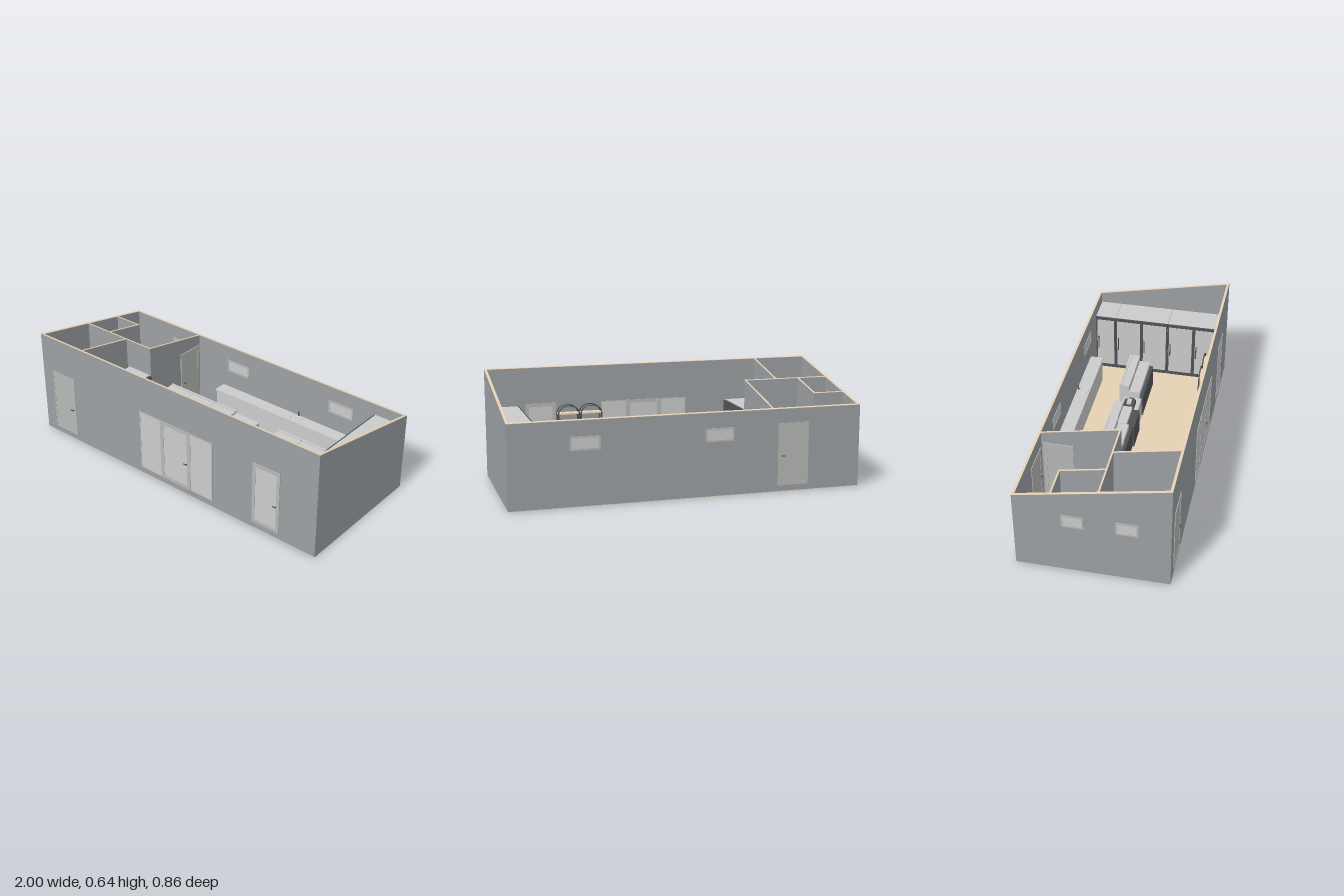
import * as THREE from 'three';

const mat = (color) => new THREE.MeshStandardMaterial({ color, flatShading: true });
const WALL = mat(0x9ca0a3), TAN = mat(0xe6d1b4), GREY = mat(0xcccccc), DARK = mat(0x505356);
const FRAME = mat(0xb6b9b5), STEEL = mat(0xbcbec0);
const SMOOTH = new THREE.MeshStandardMaterial({ color: 0xcccccc, side: THREE.DoubleSide });

const FLOOR = 0.035, T = 0.015, W = 0.415;
const roof = (z) => 0.555 + z * 0.2;

function add(parent, name, geometry, material, x = 0, y = 0, z = 0) {
  const m = new THREE.Mesh(geometry, material);
  m.name = name;
  m.position.set(x, y, z);
  parent.add(m);
  return m;
}

// Box given by its limits
function block(parent, name, material, x0, x1, y0, y1, z0, z1) {
  return add(parent, name, new THREE.BoxGeometry(x1 - x0, y1 - y0, z1 - z0), material,
    (x0 + x1) / 2, (y0 + y1) / 2, (z0 + z1) / 2);
}

// Box whose top (and optionally bottom) follows the roof slope
function slopedBox(parent, name, material, x0, x1, z0, z1, low, high) {
  const g = new THREE.BoxGeometry(x1 - x0, 1, z1 - z0);
  g.translate((x0 + x1) / 2, 0, (z0 + z1) / 2);
  const p = g.attributes.position;
  for (let i = 0; i < p.count; i++) p.setY(i, (p.getY(i) > 0 ? high : low)(p.getZ(i)));
  g.computeVertexNormals();
  return add(parent, name, g, material);
}

// Wall with a light core showing along its top edge
function wall(parent, name, x0, x1, z0, z1, base) {
  const g = new THREE.Group();
  g.name = name;
  parent.add(g);
  slopedBox(g, 'wallPanel', WALL, x0, x1, z0, z1, () => base, (z) => roof(z) - 0.002);
  slopedBox(g, 'wallTopEdge', TAN, x0, x1, z0, z1, (z) => roof(z) - 0.002, roof);
  if (base < FLOOR) block(g, 'wallBottomEdge', TAN, x0, x1, 0, base, z0, z1);
}

// Framed pane set through a wall; handle is the side of the lever (-1, 0 or 1)
function opening(parent, name, o) {
  const { w, y0, y1, border = 0.02, frame = FRAME, pane = GREY, handle = 0 } = o;
  const g = new THREE.Group(), h = y1 - y0, d = 0.022;
  g.name = name;
  const s = new THREE.Shape([[-w / 2, 0], [w / 2, 0], [w / 2, h], [-w / 2, h]].map((p) => new THREE.Vector2(...p)));
  const a = w / 2 - border;
  s.holes.push(new THREE.Path([[-a, border], [-a, h - border], [a, h - border], [a, border]].map((p) => new THREE.Vector2(...p))));
  add(g, 'frame', new THREE.ExtrudeGeometry(s, { depth: d, bevelEnabled: false }), frame, 0, 0, -d / 2);
  add(g, 'pane', new THREE.BoxGeometry(2 * a, h - 2 * border, 0.018), pane, 0, h / 2, 0);
  if (handle) {
    const hx = handle * (w / 2 - 0.022), hy = 0.205 - y0;
    add(g, 'handleStem', new THREE.BoxGeometry(0.006, 0.006, 0.036), DARK, hx, hy, 0);
    for (const side of [-1, 1])
      add(g, 'handleLever', new THREE.BoxGeometry(0.02, 0.005, 0.004), DARK, hx - handle * 0.007, hy, side * 0.018);
  }
  g.position.set(o.x, y0, o.z);
  g.rotation.y = o.turn || 0;
  parent.add(g);
}

// Toilet with its tank at the back (-z)
function toilet(parent, x, z, turn) {
  const g = new THREE.Group();
  g.name = 'toilet';
  add(g, 'tank', new THREE.BoxGeometry(0.07, 0.07, 0.035), GREY, 0, 0.1, 0.018);
  const prof = [[0, 0], [0.022, 0], [0.02, 0.03], [0.033, 0.065], [0.035, 0.075], [0, 0.075]];
  const bowl = add(g, 'bowl', new THREE.LatheGeometry(prof.map((p) => new THREE.Vector2(...p)), 24), SMOOTH, 0, 0, 0.08);
  bowl.scale.z = 1.35;
  block(g, 'bowlNeck', GREY, -0.02, 0.02, 0, 0.07, 0, 0.06);
  g.position.set(x, FLOOR, z);
  g.rotation.y = turn;
  parent.add(g);
}

// Round wall basin with a small tap, wall at -z
function basin(parent, x, z, turn) {
  const g = new THREE.Group();
  g.name = 'washBasin';
  const prof = [[0, 0], [0.02, 0.005], [0.035, 0.035], [0.03, 0.035], [0.016, 0.014], [0, 0.012]];
  add(g, 'bowl', new THREE.LatheGeometry(prof.map((p) => new THREE.Vector2(...p)), 24), SMOOTH, 0, 0.12, 0.035);
  add(g, 'pedestal', new THREE.CylinderGeometry(0.01, 0.014, 0.12, 16), SMOOTH, 0, 0.06, 0.03);
  const path = new THREE.CatmullRomCurve3([[0, 0.15, 0.006], [0, 0.175, 0.01], [0, 0.175, 0.025], [0, 0.165, 0.03]].map((p) => new THREE.Vector3(...p)));
  add(g, 'tap', new THREE.TubeGeometry(path, 10, 0.003, 8), DARK);
  g.position.set(x, FLOOR, z);
  g.rotation.y = turn;
  parent.add(g);
}

// Stepped display case along the middle row
function displayCase(parent, x0, x1) {
  const g = new THREE.Group();
  g.name = 'displayCase';
  parent.add(g);
  const e = 0.001;
  block(g, 'rearCabinet', GREY, x0 + e, x1 - e, FLOOR, 0.24, -0.145, -0.085);
  block(g, 'frontCabinet', GREY, x0 + e, x1 - e, FLOOR, 0.2, -0.085, -0.02);
  block(g, 'backRail', STEEL, x0 + e, x1 - e, 0.24, 0.246, -0.145, -0.132);
  block(g, 'frontPanel', DARK, x0 + e, x1 - e, FLOOR, 0.17, -0.02, 0);
}

// Open shelf unit with arched end-to-end frames
function shelfUnit(parent, x0, x1) {
  const g = new THREE.Group();
  g.name = 'archedShelf';
  parent.add(g);
  const cx = (x0 + x1) / 2, r = (x1 - x0) / 2 - 0.005;
  for (const y of [0.06, 0.12, 0.18, 0.24, 0.3, 0.355])
    block(g, 'shelf', TAN, x0 + 0.004, x1 - 0.004, y, y + 0.008, 0.337, 0.393);
  for (const z of [0.34, 0.39]) {
    for (const s of [-1, 1])
      block(g, 'post', DARK, cx + s * r - 0.004, cx + s * r + 0.004, FLOOR, 0.36, z - 0.004, z + 0.004);
    const arch = add(g, 'arch', new THREE.TorusGeometry(r, 0.004, 6, 20, Math.PI), DARK, cx, 0.36, z);
    arch.scale.y = 0.75;
  }
}

export function createModel() {
  const root = new THREE.Group();
  root.name = 'shopBuilding';

  // Floor and shell
  block(root, 'floorTop', TAN, -1 + T, 1 - T, 0.025, FLOOR, -W + T, W - T);
  block(root, 'floorBase', DARK, -1 + T, 1 - T, 0.015, 0.025, -W + T, W - T);
  wall(root, 'frontWall', -1, 1, W - T, W, 0.003);
  wall(root, 'backWall', -1, 1, -W, -W + T, 0.003);
  wall(root, 'leftWall', 1 - T, 1, -W + T, W - T, 0.003);
  wall(root, 'rightWall', -1, -1 + T, -W + T, W - T, 0.003);

  // Partitions
  const t = 0.005;
  wall(root, 'storePartition', -0.48 - t, -0.48 + t, -0.4, 0.045, FLOOR);
  wall(root, 'crossPartition', -0.985, -0.485, 0.035, 0.045, FLOOR);
  wall(root, 'washroomSide', -0.81 - t, -0.81 + t, -0.215, 0.035, FLOOR);
  wall(root, 'washroomFront', -0.985, -0.815, -0.215, -0.205, FLOOR);
  wall(root, 'officePartition', -0.67 - t, -0.67 + t, 0.045, 0.4, FLOOR);

  // Doors and glazing of the front
  const fz = W - T / 2;
  opening(root, 'serviceDoor', { x: -0.83, z: fz, w: 0.18, y0: 0.04, y1: 0.42, border: 0.008, pane: FRAME, handle: 1 });
  for (const x of [-0.14, 0.23])
    opening(root, 'sideGlazing', { x, z: fz, w: 0.16, y0: 0.04, y1: 0.415, border: 0.005 });
  opening(root, 'entranceDoor', { x: 0.045, z: fz, w: 0.21, y0: 0.04, y1: 0.415, handle: 1 });
  opening(root, 'sideDoor', { x: 0.675, z: fz, w: 0.18, y0: 0.04, y1: 0.42, handle: 1 });

  // Back door, inner doors
  opening(root, 'backDoor', { x: -0.6, z: -fz, w: 0.18, y0: 0.035, y1: 0.39, pane: FRAME, handle: 1 });
  opening(root, 'storeDoor', { x: -0.48, z: -0.305, w: 0.17, y0: FLOOR, y1: 0.41, turn: -Math.PI / 2, pane: FRAME, handle: 1 });
  opening(root, 'washroomDoor', { x: -0.915, z: -0.21, w: 0.13, y0: FLOOR, y1: 0.4, pane: FRAME, border: 0.012, handle: 1 });

  // Small high windows
  for (const x of [-0.167, 0.583])
    opening(root, 'backWindow', { x, z: -fz, w: 0.167, y0: 0.308, y1: 0.385, border: 0.01 });
  for (const z of [-0.1, 0.185])
    opening(root, 'endWindow', { x: -1 + T / 2, z, w: 0.12, y0: 0.305, y1: 0.385, border: 0.01, turn: Math.PI / 2 });

  // Back counter with sink
  block(root, 'counterBase', GREY, -0.275, 0.655, FLOOR, 0.19, -0.4, -0.325);
  block(root, 'counterTop', GREY, -0.28, 0.66, 0.19, 0.2, -0.4, -0.32);
  const rim = add(root, 'sinkRim', new THREE.TorusGeometry(0.036, 0.004, 6, 8), STEEL, 0.3, 0.2, -0.36);
  rim.rotation.set(-Math.PI / 2, 0, Math.PI / 8);
  rim.scale.set(1.05, 0.8, 1);
  block(root, 'sinkTap', DARK, 0.297, 0.303, 0.2, 0.23, -0.394, -0.388);

  // Middle row: display cases, service desk and till table
  for (const [x0, x1] of [[-0.475, -0.305], [-0.305, -0.135], [-0.135, 0.025], [0.34, 0.508], [0.508, 0.675]])
    displayCase(root, x0, x1);
  block(root, 'deskBack', GREY, 0.027, 0.195, FLOOR, 0.23, -0.145, -0.09);
  block(root, 'deskBody', GREY, 0.027, 0.195, FLOOR, 0.2, -0.09, -0.035);
  block(root, 'deskFront', DARK, 0.027, 0.195, FLOOR, 0.18, -0.035, 0.01);
  block(root, 'tillTable', GREY, 0.197, 0.325, FLOOR, 0.17, -0.11, -0.005);
  block(root, 'till', DARK, 0.205, 0.275, 0.17, 0.195, -0.095, -0.03);
  block(root, 'tillScreen', STEEL, 0.22, 0.26, 0.195, 0.21, -0.075, -0.05);
  block(root, 'cardReader', DARK, 0.288, 0.31, 0.17, 0.18, -0.08, -0.045);

  // Cold cabinet row along the left end, doors facing the shop
  for (const [z0, z1] of [[-0.398, -0.27], [-0.27, 0.065], [0.065, 0.398]]) {
    block(root, 'coldCabinet', GREY, 0.812, 0.984, FLOOR, 0.41, z0 + 0.001, z1 - 0.001);
    block(root, 'cabinetFace', DARK, 0.803, 0.812, FLOOR, 0.408, z0 + 0.001, z1 - 0.001);
    const n = z1 - z0 > 0.2 ? 2 : 1, w = (z1 - z0) / n;
    for (let i = 0; i < n; i++) {
      const a = z0 + i * w;
      block(root, 'cabinetDoor', STEEL, 0.8, 0.803, 0.06, 0.39, a + 0.01, a + w - 0.01);
      block(root, 'cabinetHandle', DARK, 0.795, 0.8, 0.18, 0.27, a + 0.015, a + 0.021);
    }
  }

  // Tall chiller beside the office partition
  block(root, 'chillerBody', GREY, -0.64, -0.478, FLOOR, 0.39, 0.053, 0.385);
  block(root, 'chillerFront', DARK, -0.478, -0.465, FLOOR, 0.385, 0.053, 0.385);

  // Arched shelves by the front wall
  shelfUnit(root, 0.315, 0.449);
  shelfUnit(root, 0.451, 0.585);

  // Washroom fittings
  toilet(root, -0.9, 0.033, Math.PI);
  toilet(root, -0.984, 0.31, Math.PI / 2);
  basin(root, -0.9, 0.046, 0);
  basin(root, -0.816, -0.14, -Math.PI / 2);
  return root;
}
